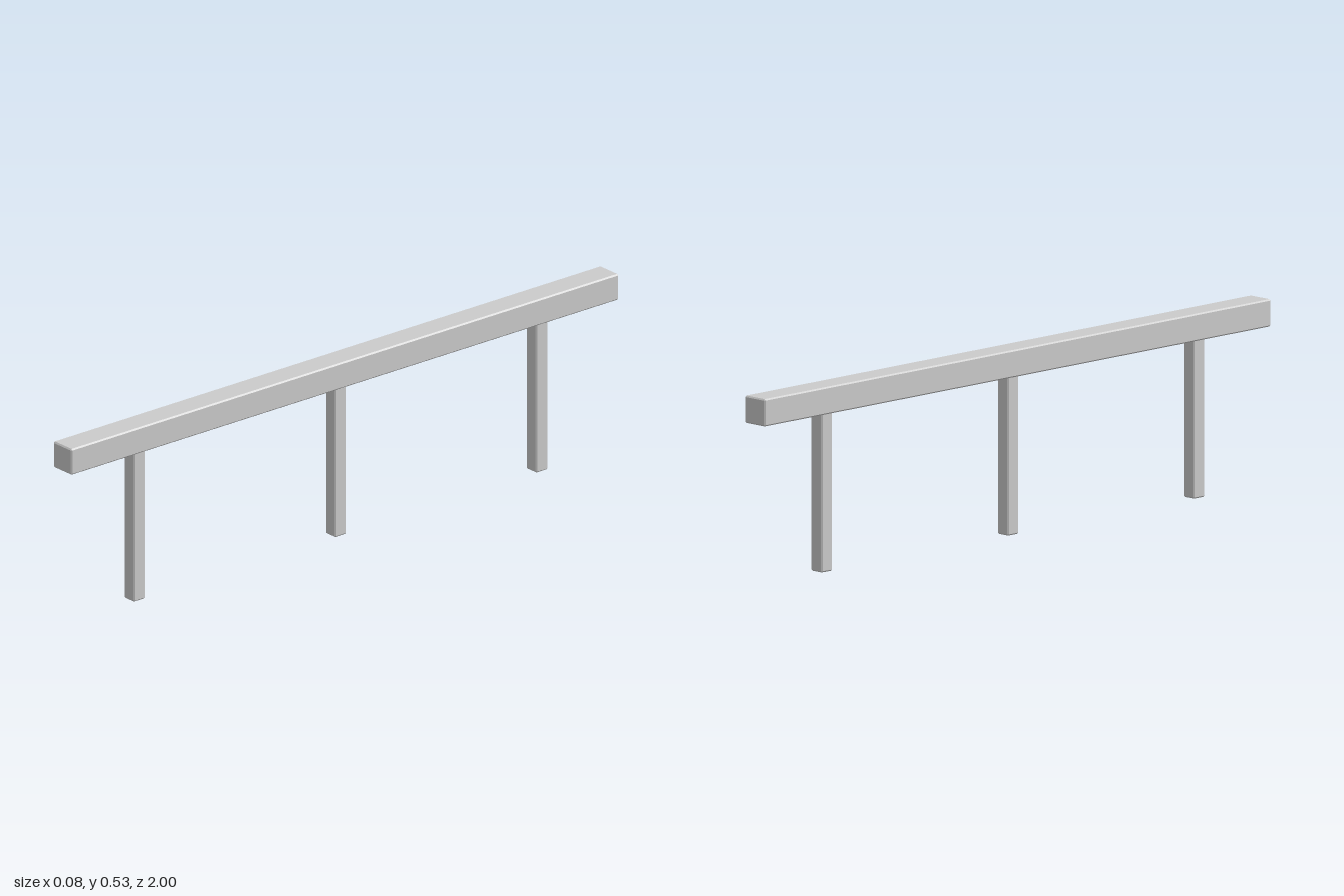
import * as THREE from 'three';
import { ConvexGeometry } from 'three/addons/geometries/ConvexGeometry.js';

const material = new THREE.MeshStandardMaterial({ color: 0xcccccc, flatShading: true });

// Box with every edge cut by a small flat chamfer
function chamferedBox(name, width, height, depth, chamfer) {
  const half = [width / 2, height / 2, depth / 2];
  const points = [];
  for (const sx of [-1, 1]) for (const sy of [-1, 1]) for (const sz of [-1, 1]) {
    const signs = [sx, sy, sz];
    // Each corner becomes three points, one on each adjoining face
    for (let face = 0; face < 3; face++) {
      const p = signs.map((s, i) => s * (half[i] - (i === face ? 0 : chamfer)));
      points.push(new THREE.Vector3(...p));
    }
  }
  const mesh = new THREE.Mesh(new ConvexGeometry(points), material);
  mesh.name = name;
  return mesh;
}

export function createModel() {
  const group = new THREE.Group();
  group.name = 'postAndRail';

  // Long horizontal rail
  const railBottom = 0.453, railTop = 0.531;
  const rail = chamferedBox('rail', 0.08, railTop - railBottom, 2, 0.004);
  rail.position.y = (railBottom + railTop) / 2;
  group.add(rail);

  // Three evenly spaced posts, let slightly into the rail
  const postHeight = 0.457;
  ['backPost', 'middlePost', 'frontPost'].forEach((name, i) => {
    const post = chamferedBox(name, 0.044, postHeight, 0.044, 0.004);
    post.position.set(0, postHeight / 2, (i - 1) * 0.735);
    group.add(post);
  });

  return group;
}
